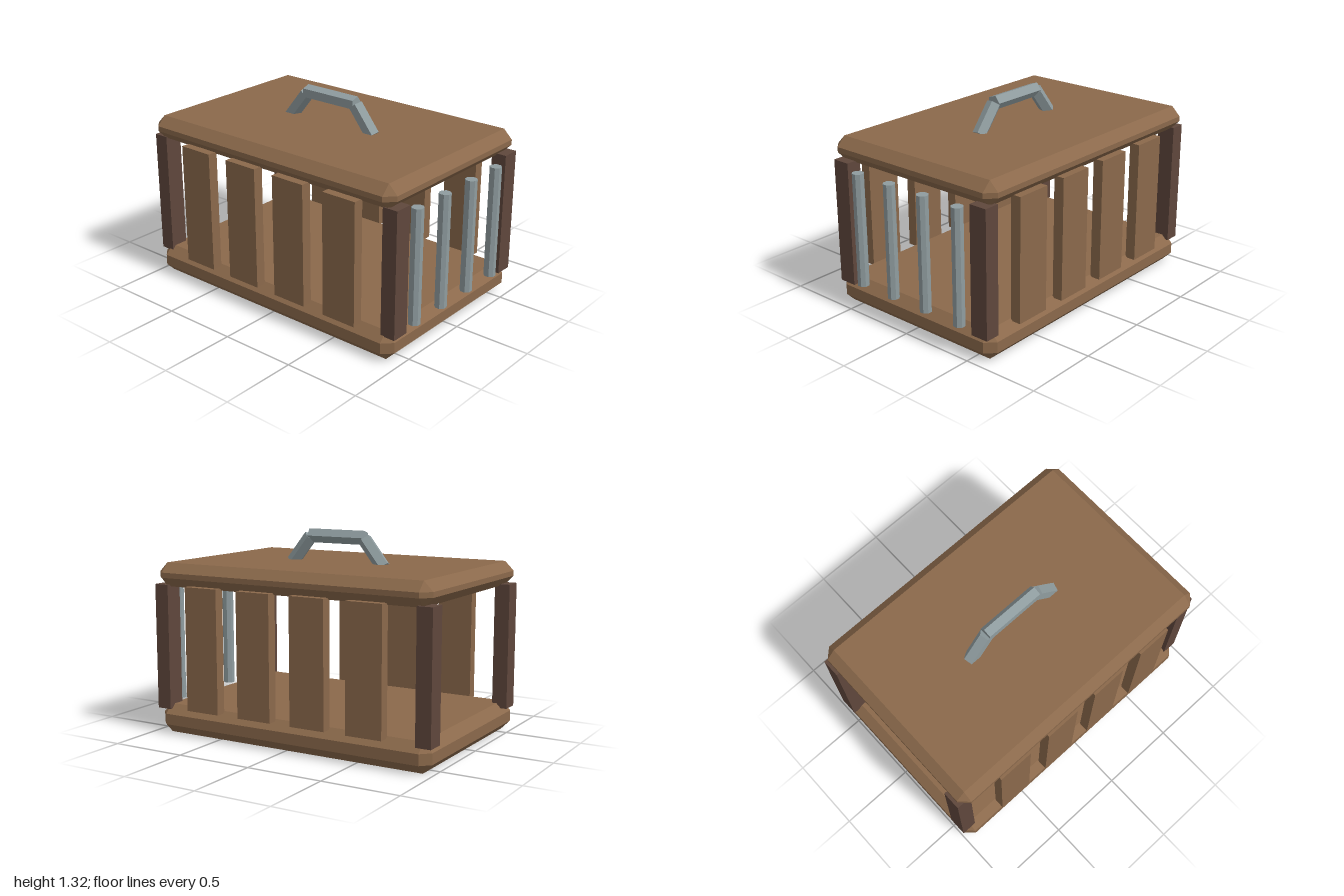
import * as THREE from 'three';
import { ConvexGeometry } from 'three/addons/geometries/ConvexGeometry.js';

const mat = (name, color) => {
  const m = new THREE.MeshStandardMaterial({ color });
  m.name = name;
  m.flatShading = true;
  return m;
};

// Box given by its two corners, with every edge and corner cut off by c
function chamferedBox(min, max, c) {
  const mid = min.map((v, i) => (v + max[i]) / 2);
  const half = min.map((v, i) => (max[i] - v) / 2);
  const points = [];
  for (const sx of [-1, 1]) for (const sy of [-1, 1]) for (const sz of [-1, 1]) {
    for (let axis = 0; axis < 3; axis++) {
      const p = [sx, sy, sz].map((s, i) => mid[i] + s * (half[i] - (i === axis ? 0 : c)));
      points.push(new THREE.Vector3(...p));
    }
  }
  return new ConvexGeometry(points);
}

export function createModel() {
  const group = new THREE.Group();
  group.name = 'crate';
  const wood = mat('brown wood', 0x8b694b);
  const darkWood = mat('dark wood', 0x5f473c);
  const metal = mat('grey metal', 0x8f9c9f);

  const add = (name, geometry, material) => {
    const mesh = new THREE.Mesh(geometry, material);
    mesh.name = name;
    group.add(mesh);
    return mesh;
  };
  const box = (name, material, min, max) => {
    const size = max.map((v, i) => v - min[i]);
    const mesh = add(name, new THREE.BoxGeometry(...size), material);
    mesh.position.set(...max.map((v, i) => (v + min[i]) / 2));
  };

  // Floor and lid
  add('floor', chamferedBox([-0.99, 0, -0.645], [0.955, 0.19, 0.645], 0.06), wood);
  add('lid', chamferedBox([-0.985, 0.96, -0.655], [0.955, 1.113, 0.65], 0.06), wood);

  // Corner posts
  for (const [x0, x1] of [[-1, -0.9], [0.87, 0.97]]) {
    box('frontPost', darkWood, [x0, 0.16, 0.49], [x1, 0.973, 0.61]);
    box('backPost', darkWood, [x0, 0.16, -0.63], [x1, 0.973, -0.51]);
  }

  // Upright slats along the front and back
  for (const x of [-0.577, -0.188, 0.198, 0.59]) {
    box('frontSlat', wood, [x - 0.12, 0.175, 0.59], [x + 0.12, 0.973, 0.658]);
    box('backSlat', wood, [x - 0.12, 0.175, -0.657], [x + 0.12, 0.973, -0.588]);
  }

  // Octagonal bars closing the left end
  for (const z of [-0.41, -0.137, 0.137, 0.407]) {
    const bar = add('bar', new THREE.CylinderGeometry(0.0385, 0.0385, 0.745, 8, 1, false, Math.PI / 8), metal);
    bar.position.set(0.9635, 0.56, z);
  }

  // Handle of three five-sided rods, each with a ridge towards the back
  const rod = (name, x0, y0, x1, y1) => {
    const length = Math.hypot(x1 - x0, y1 - y0);
    const mesh = add(name, new THREE.CylinderGeometry(0.047, 0.047, length, 5, 1, false, Math.PI), metal);
    mesh.position.set((x0 + x1) / 2, (y0 + y1) / 2, 0);
    mesh.rotation.z = Math.atan2(y1 - y0, x1 - x0) - Math.PI / 2;
  };
  rod('handleGrip', -0.217, 1.275, 0.187, 1.275);
  rod('handleLegRight', -0.35, 1.097, -0.214, 1.267);
  rod('handleLegLeft', 0.32, 1.097, 0.184, 1.267);

  return group;
}
